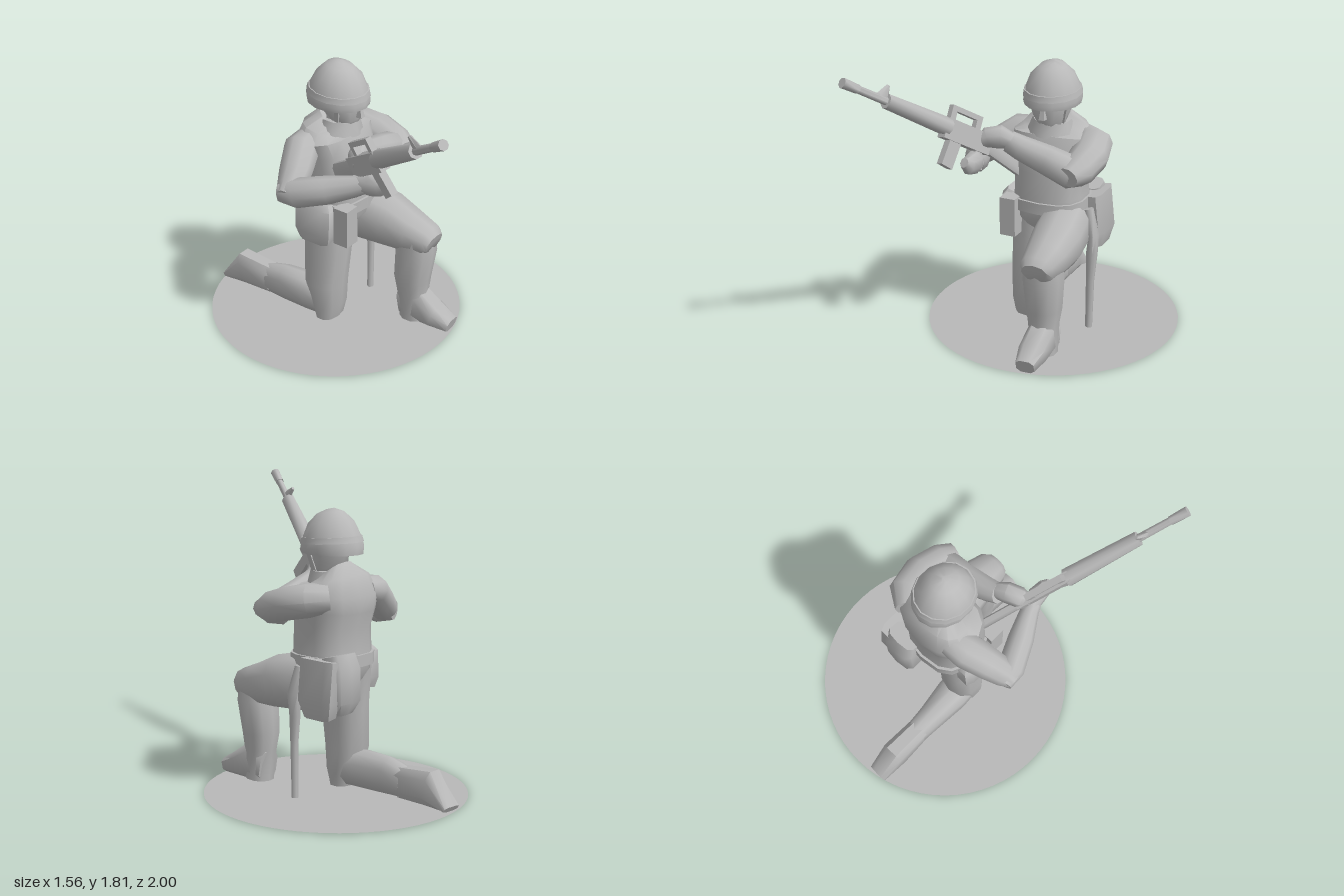
import * as THREE from 'three';
import { toCreasedNormals } from 'three/addons/utils/BufferGeometryUtils.js';

const grey = new THREE.MeshStandardMaterial({ color: 0xb8b8b8 });
grey.name = 'plain grey';
const greySheet = new THREE.MeshStandardMaterial({ color: 0xb8b8b8, side: THREE.DoubleSide });
greySheet.name = 'plain grey sheet';
const X = new THREE.Vector3(1, 0, 0), Y = new THREE.Vector3(0, 1, 0);

function add(parent, name, geometry, material = grey) {
  const mesh = new THREE.Mesh(geometry, material);
  mesh.name = name;
  parent.add(mesh);
  return mesh;
}

// Closed loft through sections [x, y, z, halfA, halfB]; halfA lies along ref.
// A square value below 1 makes the cross-sections boxier.
function loft(parent, name, sections, ref = X, sides = 10, square = 1, crease = 0.9) {
  const centres = sections.map(s => new THREE.Vector3(s[0], s[1], s[2]));
  const last = sections.length - 1, pos = [], index = [];
  const pow = v => Math.sign(v) * Math.abs(v) ** square;
  sections.forEach((s, i) => {
    const t = centres[Math.min(i + 1, last)].clone().sub(centres[Math.max(i - 1, 0)]).normalize();
    const a = ref.clone().addScaledVector(t, -ref.dot(t)).normalize();
    const b = t.clone().cross(a);
    for (let j = 0; j < sides; j++) {
      const ang = (j + 0.5) / sides * Math.PI * 2;
      const p = centres[i].clone()
        .addScaledVector(a, pow(Math.cos(ang)) * s[3])
        .addScaledVector(b, pow(Math.sin(ang)) * s[4]);
      pos.push(p.x, p.y, p.z);
    }
  });
  for (let i = 0; i < last; i++) for (let j = 0; j < sides; j++) {
    const k = (j + 1) % sides, p = i * sides, q = p + sides;
    index.push(p + j, p + k, q + k, p + j, q + k, q + j);
  }
  for (let j = 1; j < sides - 1; j++) {
    const q = last * sides;
    index.push(0, j + 1, j, q, q + j, q + j + 1);
  }
  const g = new THREE.BufferGeometry();
  g.setAttribute('position', new THREE.Float32BufferAttribute(pos, 3));
  g.setIndex(index);
  return add(parent, name, toCreasedNormals(g, crease));
}

function box(parent, name, size, at, tilt = [0, 0, 0]) {
  const mesh = add(parent, name, new THREE.BoxGeometry(...size));
  mesh.position.set(...at);
  mesh.rotation.set(...tilt);
  return mesh;
}

function buildBody(root) {
  loft(root, 'jacket', [
    [0.01, 0.64, -0.2, 0.17, 0.14], [0.01, 0.74, -0.19, 0.22, 0.2], [0, 0.85, -0.19, 0.22, 0.2],
    [0, 1.0, -0.19, 0.22, 0.19], [0, 1.12, -0.21, 0.235, 0.2], [0, 1.21, -0.23, 0.25, 0.18],
    [0, 1.27, -0.24, 0.19, 0.13], [0.005, 1.31, -0.21, 0.1, 0.1]], X, 14, 0.75);
  loft(root, 'belt', [[0, 0.77, -0.19, 0.235, 0.215], [0, 0.84, -0.19, 0.235, 0.215]], X, 14, 0.75);
  loft(root, 'collar', [[0, 1.23, -0.18, 0.15, 0.14], [0.005, 1.32, -0.18, 0.115, 0.12]], X, 10);

  // Kneeling leg
  loft(root, 'kneelingThigh', [
    [-0.1, 0.78, -0.2, 0.13, 0.16], [-0.12, 0.5, -0.18, 0.12, 0.145],
    [-0.13, 0.25, -0.19, 0.125, 0.125], [-0.13, 0.1, -0.17, 0.115, 0.095],
    [-0.13, 0.01, -0.17, 0.1, 0.07]], X, 10, 0.85);
  loft(root, 'kneelingCalf', [
    [-0.13, 0.11, -0.14, 0.1, 0.1], [-0.14, 0.125, -0.3, 0.105, 0.115], [-0.15, 0.12, -0.5, 0.08, 0.115],
    [-0.15, 0.105, -0.63, 0.07, 0.095]], X, 10, 0.85);
  loft(root, 'kneelingBoot', [
    [-0.15, 0.105, -0.6, 0.07, 0.095], [-0.155, 0.115, -0.82, 0.078, 0.11],
    [-0.15, 0.02, -0.97, 0.065, 0.02]], X, 8, 0.7);

  // Forward leg
  loft(root, 'forwardThigh', [
    [0.11, 0.68, -0.25, 0.13, 0.15], [0.13, 0.66, -0.08, 0.155, 0.175], [0.155, 0.64, 0.08, 0.155, 0.16],
    [0.16, 0.605, 0.25, 0.13, 0.12], [0.16, 0.59, 0.37, 0.105, 0.09], [0.16, 0.58, 0.4, 0.08, 0.06]], X, 10, 0.85);
  loft(root, 'forwardShin', [
    [0.155, 0.64, 0.28, 0.11, 0.1], [0.16, 0.5, 0.275, 0.12, 0.12], [0.155, 0.3, 0.255, 0.105, 0.11],
    [0.155, 0.2, 0.26, 0.09, 0.095], [0.16, 0.01, 0.265, 0.08, 0.085]], X, 10, 0.85);
  loft(root, 'forwardBoot', [
    [0.16, 0.1, 0.19, 0.075, 0.1], [0.16, 0.12, 0.3, 0.085, 0.12], [0.16, 0.075, 0.43, 0.085, 0.075],
    [0.165, 0.045, 0.54, 0.06, 0.045]], X, 8, 0.7);
}

function buildArms(root) {
  // Left arm reaches across the chest
  loft(root, 'leftUpperArm', [
    [0.16, 1.18, -0.31, 0.08, 0.09], [0.24, 1.17, -0.24, 0.1, 0.12], [0.275, 1.14, -0.1, 0.1, 0.12],
    [0.265, 1.1, 0.04, 0.095, 0.105], [0.24, 1.085, 0.13, 0.06, 0.075]], Y, 10);
  loft(root, 'leftForearm', [
    [0.31, 1.07, 0.02, 0.06, 0.06], [0.23, 1.085, 0.04, 0.1, 0.1], [0.08, 1.14, 0.05, 0.09, 0.085],
    [-0.08, 1.2, 0.075, 0.075, 0.07], [-0.15, 1.235, 0.09, 0.065, 0.06]], Y, 10);
  loft(root, 'leftHand', [
    [-0.12, 1.24, 0.09, 0.045, 0.045], [-0.19, 1.265, 0.12, 0.07, 0.06], [-0.26, 1.26, 0.15, 0.06, 0.06],
    [-0.3, 1.23, 0.18, 0.035, 0.03]], Y, 8);

  // Right arm swings outward and supports the rifle from below
  loft(root, 'rightUpperArm', [
    [-0.14, 1.19, -0.29, 0.08, 0.09], [-0.24, 1.18, -0.27, 0.095, 0.11], [-0.36, 1.1, -0.22, 0.09, 0.1],
    [-0.46, 1.04, -0.18, 0.085, 0.085], [-0.53, 1.02, -0.17, 0.05, 0.05]], Y, 10);
  loft(root, 'rightForearm', [
    [-0.5, 1.02, -0.23, 0.06, 0.05], [-0.47, 1.03, -0.14, 0.09, 0.08], [-0.39, 1.07, 0.03, 0.085, 0.075],
    [-0.32, 1.11, 0.17, 0.065, 0.055], [-0.3, 1.13, 0.22, 0.055, 0.05]], Y, 10);
  loft(root, 'rightHand', [
    [-0.31, 1.13, 0.19, 0.05, 0.045], [-0.29, 1.14, 0.26, 0.07, 0.055], [-0.29, 1.15, 0.33, 0.06, 0.045],
    [-0.3, 1.17, 0.36, 0.03, 0.03]], Y, 8);
}

function buildHead(root) {
  const head = new THREE.Group();
  head.name = 'head';
  root.add(head);
  loft(head, 'neck', [[0, 1.2, -0.2, 0.08, 0.08], [0, 1.36, -0.18, 0.08, 0.08]], X, 8);
  loft(head, 'face', [
    [0.01, 1.26, -0.11, 0.045, 0.045], [0.01, 1.3, -0.13, 0.085, 0.085], [0.01, 1.38, -0.16, 0.11, 0.125],
    [0.01, 1.5, -0.17, 0.12, 0.13]], X, 10);
  loft(head, 'nose', [[0.01, 1.35, -0.035, 0.025, 0.03], [0.01, 1.43, -0.04, 0.012, 0.012]], X, 4);
  for (const s of [-1, 1]) box(head, 'chinStrap', [0.012, 0.17, 0.03], [0.01 + s * 0.1, 1.36, -0.13], [0.2, 0, -s * 0.25]);
  loft(head, 'helmet', [
    [0.005, 1.415, -0.19, 0.165, 0.195], [0.005, 1.45, -0.19, 0.175, 0.198], [0.005, 1.51, -0.185, 0.162, 0.178],
    [0.005, 1.59, -0.18, 0.13, 0.14], [0.005, 1.645, -0.175, 0.075, 0.085], [0.005, 1.665, -0.17, 0.02, 0.03]],
    X, 14, 1, 1.1);
  loft(head, 'helmetBand', [[0.005, 1.475, -0.187, 0.176, 0.196], [0.005, 1.51, -0.185, 0.168, 0.186]], X, 14);
}

function buildGear(root) {
  loft(root, 'buttPack', [
    [0.14, 0.53, -0.39, 0.07, 0.05], [0.145, 0.6, -0.4, 0.11, 0.08], [0.15, 0.78, -0.4, 0.11, 0.085],
    [0.15, 0.86, -0.38, 0.1, 0.07]], X, 10, 0.6);
  loft(root, 'leftHipPouch', [
    [0.25, 0.51, -0.33, 0.05, 0.1], [0.265, 0.6, -0.33, 0.06, 0.13], [0.24, 0.84, -0.33, 0.06, 0.13]], X, 8, 0.5);
  loft(root, 'rightHipPouch', [
    [-0.23, 0.6, -0.18, 0.055, 0.11], [-0.24, 0.66, -0.18, 0.06, 0.13], [-0.23, 0.82, -0.18, 0.06, 0.13],
    [-0.22, 0.85, -0.18, 0.04, 0.1]], X, 8, 0.5);
  box(root, 'frontPouch', [0.1, 0.24, 0.1], [-0.185, 0.73, 0.0]);

  // Sheath hanging from the belt, tapering into a post that meets the base
  loft(root, 'sheath', [
    [0.27, 0, -0.15, 0.022, 0.02], [0.275, 0.32, -0.15, 0.026, 0.022], [0.28, 0.5, -0.16, 0.035, 0.035],
    [0.29, 0.62, -0.16, 0.03, 0.045], [0.25, 0.78, -0.17, 0.03, 0.03]], X, 8);
}

// Rifle laid out along its own z axis: the muzzle is at 0 and the butt at -1.45
function buildRifle(root) {
  const rifle = new THREE.Group();
  rifle.name = 'rifle';
  const dir = new THREE.Vector3(-0.48, 0.66, 1).normalize();
  const side = new THREE.Vector3(0, 0.83, -0.55).cross(dir).normalize();
  const up = dir.clone().cross(side);
  rifle.quaternion.setFromRotationMatrix(new THREE.Matrix4().makeBasis(side, up, dir));
  rifle.position.set(-0.68, 1.78, 0.985);
  root.add(rifle);
  const tube = (name, z0, z1, r0, r1) =>
    loft(rifle, name, [[0, 0, z0, r0, r0], [0, 0, z1, r1, r1]], X, 8);

  tube('flashHider', -0.11, 0, 0.026, 0.03);
  tube('barrel', -0.35, -0.08, 0.024, 0.022);
  tube('handguard', -0.78, -0.31, 0.055, 0.043);
  loft(rifle, 'frontSight', [[0, 0.01, -0.28, 0.018, 0.045], [0, 0.085, -0.3, 0.01, 0.012]], X, 6);
  box(rifle, 'receiver', [0.06, 0.12, 0.36], [0, -0.01, -0.93]);
  box(rifle, 'carryHandle', [0.035, 0.03, 0.24], [0, 0.115, -0.89]);
  for (const z of [-0.79, -0.99]) box(rifle, 'handlePost', [0.035, 0.08, 0.04], [0, 0.08, z]);
  box(rifle, 'magazine', [0.045, 0.18, 0.085], [0, -0.13, -0.84], [-0.12, 0, 0]);
  box(rifle, 'grip', [0.04, 0.13, 0.05], [0, -0.11, -1.05], [0.35, 0, 0]);
  loft(rifle, 'stock', [[0, -0.04, -1.42, 0.025, 0.075], [0, -0.01, -1.09, 0.025, 0.045]], X, 8, 0.5);
}

export function createModel() {
  const root = new THREE.Group();
  root.name = 'kneelingSoldier';
  const base = add(root, 'roundBase', new THREE.CircleGeometry(0.78, 64), greySheet);
  base.rotation.x = -Math.PI / 2;
  base.position.set(0, 0.002, -0.22);
  buildBody(root);
  buildArms(root);
  buildHead(root);
  buildGear(root);
  buildRifle(root);
  return root;
}
